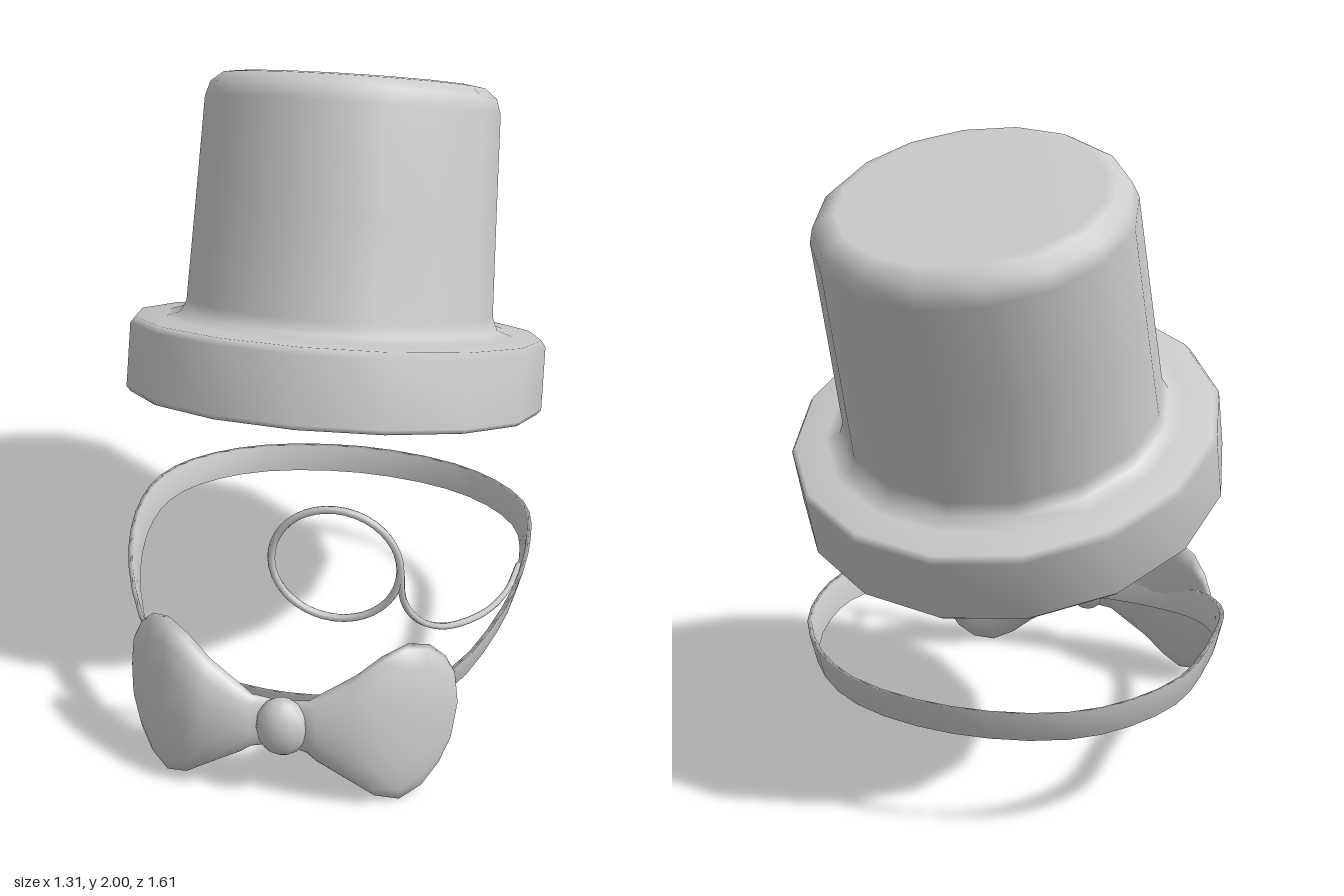
import * as THREE from 'three';

const material = new THREE.MeshStandardMaterial({ color: 0xcccccc });
const openMaterial = new THREE.MeshStandardMaterial({ color: 0xcccccc, side: THREE.DoubleSide });
const v3 = (p) => new THREE.Vector3(...p);

function add(parent, name, geometry, mat = material) {
  const mesh = new THREE.Mesh(geometry, mat);
  mesh.name = name;
  parent.add(mesh);
  return mesh;
}

// Surface through closed rows of equally many points
function skin(rows, closeRows, flip) {
  const n = rows[0].length, m = rows.length, index = [];
  for (let i = 0; i < (closeRows ? m : m - 1); i++) {
    for (let j = 0; j < n; j++) {
      const a = i * n + j, b = i * n + (j + 1) % n;
      const c = ((i + 1) % m) * n + j, d = ((i + 1) % m) * n + (j + 1) % n;
      if (flip) index.push(a, c, b, b, c, d);
      else index.push(a, b, c, b, d, c);
    }
  }
  const geometry = new THREE.BufferGeometry();
  geometry.setAttribute('position', new THREE.Float32BufferAttribute(rows.flat(2), 3));
  geometry.setIndex(index);
  geometry.computeVertexNormals();
  return geometry;
}

// One wing of the bow, lofted from the knot to the outer edge
function bowWing(side) {
  // distance from knot, half height, half depth, z
  const sections = [
    [0.03, 0.075, 0.025, 0.72], [0.085, 0.085, 0.03, 0.725], [0.115, 0.105, 0.052, 0.725],
    [0.22, 0.172, 0.068, 0.71], [0.29, 0.228, 0.073, 0.688], [0.36, 0.258, 0.065, 0.655],
    [0.42, 0.235, 0.055, 0.613], [0.465, 0.18, 0.042, 0.578], [0.495, 0.11, 0.026, 0.552],
    [0.508, 0.001, 0.001, 0.538],
  ];
  const sides = 14;
  const rows = sections.map(([x, h, d, z]) => Array.from({ length: sides }, (_, j) => {
    const a = j / sides * Math.PI * 2, y = Math.sin(a) * h;
    return [side * x - 0.02, 0.262 + y, z + Math.cos(a) * d - y * 0.16];
  }));
  return skin(rows, false, side > 0);
}

// Neck band: closed strip, its lower edge slightly drawn in
function neckBand() {
  const half = [[0.25, 0.305, 0.64], [0.45, 0.33, 0.535], [0.595, 0.4, 0.27],
    [0.64, 0.442, -0.02], [0.595, 0.412, -0.3], [0.38, 0.38, -0.52]];
  const points = [[0, 0.295, 0.675], ...half, [0, 0.37, -0.605],
    ...half.slice().reverse().map(([x, y, z]) => [-x, y, z])];
  const curve = new THREE.CatmullRomCurve3(points.map(v3), true);
  // outward and upward offsets of the four corners
  const corners = [[-0.008, -0.048], [0.014, 0.048], [0, 0.046], [-0.02, -0.046]];
  const rows = curve.getPoints(48).slice(0, 48).map((p) => {
    const r = Math.hypot(p.x, p.z);
    return corners.map(([out, up]) => [p.x + out * p.x / r, p.y + up, p.z + out * p.z / r]);
  });
  return skin(rows, true, true);
}

export function createModel() {
  const model = new THREE.Group();

  // Hollow top hat, tilted backwards
  const hat = new THREE.Group();
  hat.name = 'hat';
  const profile = [
    [0, 0.93], [0.4, 0.93], [0.425, 0.88], [0.445, 0.28], [0.465, 0.24], [0.545, 0.205],
    [0.555, 0.18], [0.555, 0.015], [0.565, 0], [0.642, 0], [0.655, 0.015], [0.652, 0.212],
    [0.638, 0.232], [0.545, 0.237], [0.5, 0.252], [0.483, 0.29], [0.47, 0.6], [0.458, 0.91],
    [0.443, 0.955], [0.405, 0.985], [0.375, 0.99], [0, 0.99],
  ].map(([x, y]) => new THREE.Vector2(x, y));
  add(hat, 'crownAndBrim', new THREE.LatheGeometry(profile, 16));
  hat.position.set(0, 0.941, -0.055);
  hat.rotation.x = -20.7 * Math.PI / 180;
  model.add(hat);

  // Bow tie
  const bow = new THREE.Group();
  bow.name = 'bowTie';
  add(bow, 'leftWing', bowWing(1));
  add(bow, 'rightWing', bowWing(-1));
  const knot = add(bow, 'knot', new THREE.SphereGeometry(1, 12, 8));
  knot.scale.set(0.08, 0.098, 0.065);
  knot.position.set(-0.01, 0.263, 0.737);
  model.add(bow);

  add(model, 'neckBand', neckBand());

  // Monocle and its cord
  const monocle = new THREE.Group();
  monocle.name = 'monocle';
  const rim = add(monocle, 'rim', new THREE.TorusGeometry(0.183, 0.011, 8, 40));
  rim.position.set(0.14, 0.828, 0.686);
  const cord = [[0.325, 0.83, 0.686], [0.333, 0.73, 0.682], [0.37, 0.64, 0.645],
    [0.44, 0.56, 0.56], [0.54, 0.5, 0.4], [0.6, 0.463, 0.22], [0.625, 0.465, 0.08]];
  add(monocle, 'cord', new THREE.TubeGeometry(
    new THREE.CatmullRomCurve3(cord.map(v3)), 36, 0.01, 6), openMaterial);
  model.add(monocle);

  return model;
}
